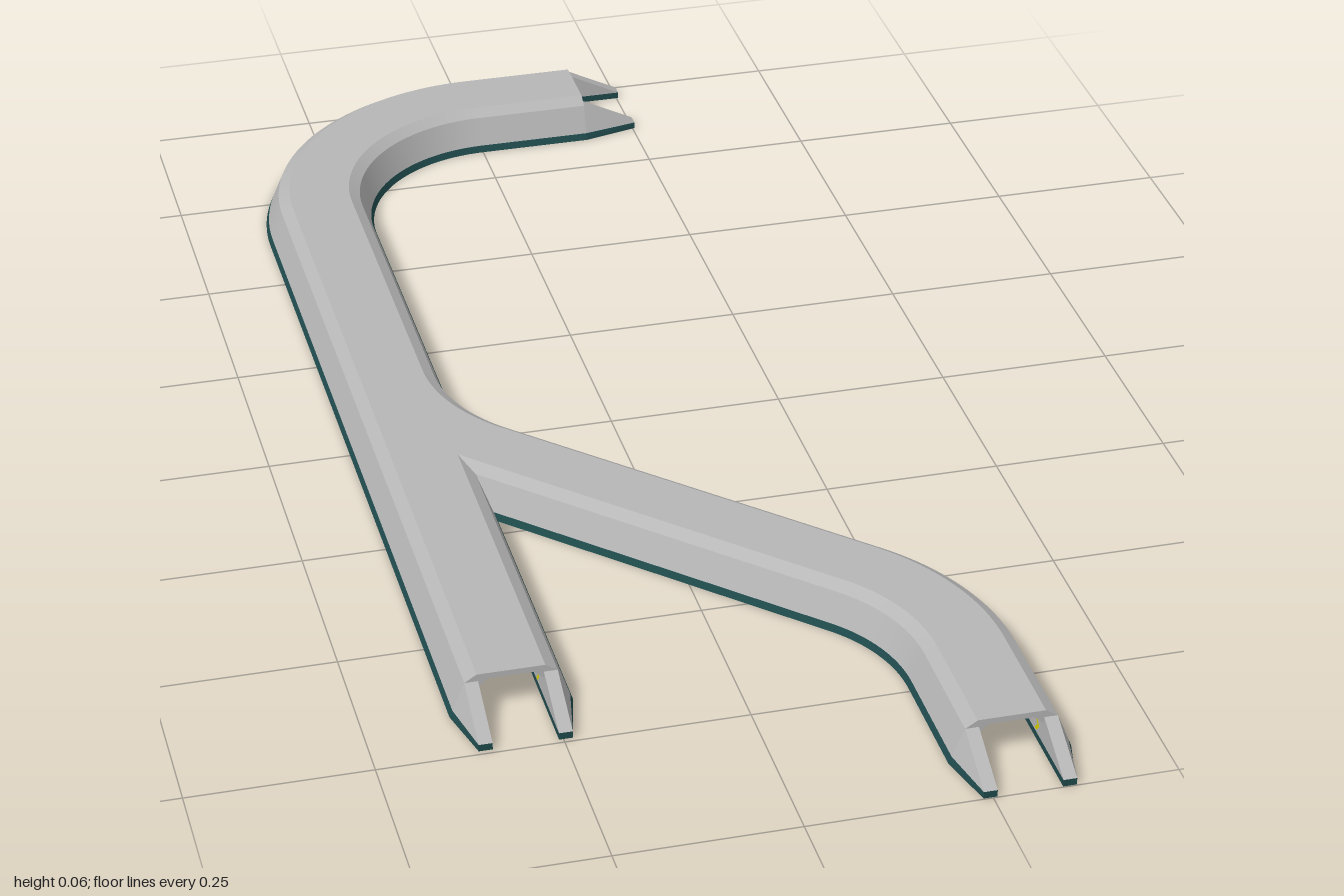
import * as THREE from 'three';
import { mergeGeometries } from 'three/addons/utils/BufferGeometryUtils.js';

const mat = (name, color) => {
  const m = new THREE.MeshStandardMaterial({ color });
  m.name = name;
  return m;
};

// Tunnel cross-section: lateral offset u, height y
const BASE = 0.083, RIM = 0.079, SHOULDER = 0.0625, ROOF = 0.046, INNER = 0.044, VAULT = 0.031;
const Y_RIM = 0.01, Y_SHOULDER = 0.051, Y_ROOF = 0.0615, Y_WALL = 0.041, Y_CEIL = 0.053;
const LEG = 0.083;

// Counter-clockwise faces of the right half: [u0, y0, u1, y1, colour]
const half = [
  [BASE, 0, RIM, Y_RIM, 'trim'],
  [RIM, Y_RIM, SHOULDER, Y_SHOULDER, 'shell'],
  [SHOULDER, Y_SHOULDER, ROOF, Y_ROOF, 'shell'],
  [VAULT, Y_CEIL, INNER, Y_WALL, 'shell'],
  [INNER, Y_WALL, INNER, Y_RIM, 'shell'],
  [INNER, Y_RIM, INNER, 0, 'trim'],
  [INNER, 0, 0.053, 0, 'trim'],
  [0.053, 0, 0.074, 0, 'strip'],
  [0.074, 0, BASE, 0, 'trim'],
];
const mirror = ([u0, y0, u1, y1, c]) => [-u1, y1, -u0, y0, c];
const profile = [
  ...half, ...half.map(mirror),
  [ROOF, Y_ROOF, -ROOF, Y_ROOF, 'shell'],
  [-VAULT, Y_CEIL, VAULT, Y_CEIL, 'shell'],
];

// Frame on a path; heading 0 looks to +z
const frame = (x, z, a) => ({
  x, z, a,
  t: new THREE.Vector3(Math.sin(a), 0, Math.cos(a)),
  n: new THREE.Vector3(Math.cos(a), 0, -Math.sin(a)),
});
const at = (f, u, y, s = 0) =>
  new THREE.Vector3(f.x, y, f.z).addScaledVector(f.n, u).addScaledVector(f.t, s);

// Walks a path made of [length, turn] moves in short steps
function walk(x, z, a, moves) {
  const path = [frame(x, z, a)];
  for (const [length, turn] of moves) {
    const n = Math.round(length / 0.0105), da = turn / n;
    const chord = da ? (2 * length / Math.abs(turn)) * Math.sin(Math.abs(da) / 2) : length / n;
    for (let i = 0; i < n; i++) {
      x += chord * Math.sin(a + da / 2);
      z += chord * Math.cos(a + da / 2);
      a += da;
      path.push(frame(x, z, a));
    }
  }
  return path;
}

// Ribbon between two lines of points, smooth along its length
function ribbon(p, q, skip = () => false) {
  const pos = [], index = [];
  p.forEach((v, i) => pos.push(...v.toArray(), ...q[i].toArray()));
  for (let i = 0; i < p.length - 1; i++) {
    const mid = p[i].clone().add(q[i]).add(p[i + 1]).add(q[i + 1]).multiplyScalar(0.25);
    if (skip(mid)) continue;
    const k = 2 * i;
    index.push(k, k + 1, k + 2, k + 1, k + 3, k + 2);
  }
  const g = new THREE.BufferGeometry();
  g.setAttribute('position', new THREE.Float32BufferAttribute(pos, 3));
  g.setIndex(index);
  g.computeVertexNormals();
  return g;
}

const distance = (path, p) => Math.min(...path.map((f) => Math.hypot(f.x - p.x, f.z - p.z)));

// Half width of the hollow at a height
const hollow = (y) => y < Y_WALL ? INNER
  : y < Y_CEIL - 0.001 ? INNER - (y - Y_WALL) * (INNER - VAULT) / (Y_CEIL - Y_WALL) : 0;

// Flat plate from outline points, set upright at p; uv is dropped so it merges with ribbons
function plate(pts, xAxis, zAxis, p) {
  const g = new THREE.ShapeGeometry(new THREE.Shape(pts.map(([x, y]) => new THREE.Vector2(x, y))));
  g.deleteAttribute('uv');
  return g.applyMatrix4(
    new THREE.Matrix4().makeBasis(xAxis, new THREE.Vector3(0, 1, 0), zAxis).setPosition(p));
}

export function createModel() {
  const materials = {
    shell: mat('shell grey', 0xb6b6b6),
    trim: mat('dark teal trim', 0x1f4a4c),
    strip: mat('pale underside', 0xb9cccb),
    arrow: mat('arrow yellow', 0xd6d000),
  };
  const model = new THREE.Group();
  model.name = 'tunnelJunction';

  // One mesh per colour for each part
  const addGroup = (name, parts) => {
    const group = new THREE.Group();
    group.name = name;
    for (const key of Object.keys(parts)) {
      if (!parts[key].length) continue;
      const mesh = new THREE.Mesh(mergeGeometries(parts[key]), materials[key]);
      mesh.name = name + key[0].toUpperCase() + key.slice(1);
      group.add(mesh);
    }
    model.add(group);
  };
  const bins = () => ({ shell: [], trim: [], strip: [], arrow: [] });

  // Tunnel tube with arrows on the inner walls, left open where the other tunnel passes
  function tunnel(name, path, other, dir, footGap) {
    const parts = bins();
    const skip = (m) => {
      const d = distance(other, m);
      return d < hollow(m.y) - 0.001 || (m.y < 1e-6 && d < footGap);
    };
    for (const [u0, y0, u1, y1, c] of profile)
      parts[c].push(ribbon(path.map((f) => at(f, u0, y0)), path.map((f) => at(f, u1, y1)), skip));
    const arrow = [[-0.009, -0.011], [-0.002, -0.011], [0.008, 0], [-0.002, 0.011], [-0.009, 0.011], [0.001, 0]];
    for (let i = 3; i < path.length - 2; i += 4) {
      for (const side of [1, -1]) {
        const f = path[i], p = at(f, side * (INNER - 0.001), 0.026);
        if (distance(other, p) < INNER + 0.004) continue;
        parts.arrow.push(plate(arrow.map(([x, y]) => [x * dir * side, y]),
          f.t.clone().multiplyScalar(side), f.n.clone().multiplyScalar(-side), p));
      }
    }
    addGroup(name, parts);
  }

  // Open mouth: roof edge and two feet that slope down to the ground
  function mouth(name, f) {
    const parts = bins();
    const right = [[VAULT, Y_CEIL], [INNER, Y_WALL], [INNER, Y_SHOULDER], [SHOULDER, Y_SHOULDER], [ROOF, Y_ROOF]];
    const left = right.map(([u, y]) => [-u, y]).reverse();
    parts.shell.push(plate([...right, ...left], f.n, f.t, at(f, 0, 0)));
    const root = [[BASE, 0], [RIM, Y_RIM], [SHOULDER, Y_SHOULDER], [INNER, Y_SHOULDER], [INNER, Y_RIM],
      [INNER, 0], [0.053, 0], [0.074, 0]];
    const tip = [[SHOULDER, 0], [SHOULDER, Y_RIM], [SHOULDER, Y_RIM], [INNER, Y_RIM], [INNER, Y_RIM],
      [INNER, 0], [0.049, 0], [0.058, 0]];
    const colours = ['trim', 'shell', 'shell', 'shell', 'trim', 'trim', 'strip', 'trim'];
    for (const side of [1, -1]) {
      const edge = (i) => [at(f, side * root[i][0], root[i][1]), at(f, side * tip[i][0], tip[i][1], LEG)];
      colours.forEach((c, i) => {
        const a = edge(i), b = edge((i + 1) % 8);
        parts[c].push(side > 0 ? ribbon(a, b) : ribbon(b, a));
      });
      const toe = [[INNER, 0], [SHOULDER, 0], [SHOULDER, Y_RIM], [INNER, Y_RIM]];
      parts.trim.push(plate(toe.map(([u, y]) => [u * side, y]), f.n, f.t, at(f, 0, 0, LEG)));
    }
    addGroup(name, parts);
  }

  // Main run with a quarter bend at the back, and a branch that shifts to the left
  const R = 0.3, q = Math.PI / 4;
  const main = walk(-0.3, 0.66, Math.PI, [[1.28, 0], [R * 2 * q, -2 * q], [0.17, 0]]);
  const branch = walk(-0.3, -0.106, 0, [[R * q, q], [0.6, 0], [R * q, -q], [0.173, 0]]);
  tunnel('mainTunnel', main, branch, -1, 0);
  tunnel('branchTunnel', branch, main, 1, BASE);

  mouth('frontMouth', frame(main[0].x, main[0].z, 0));
  mouth('backMouth', main[main.length - 1]);
  mouth('branchMouth', branch[branch.length - 1]);
  return model;
}
